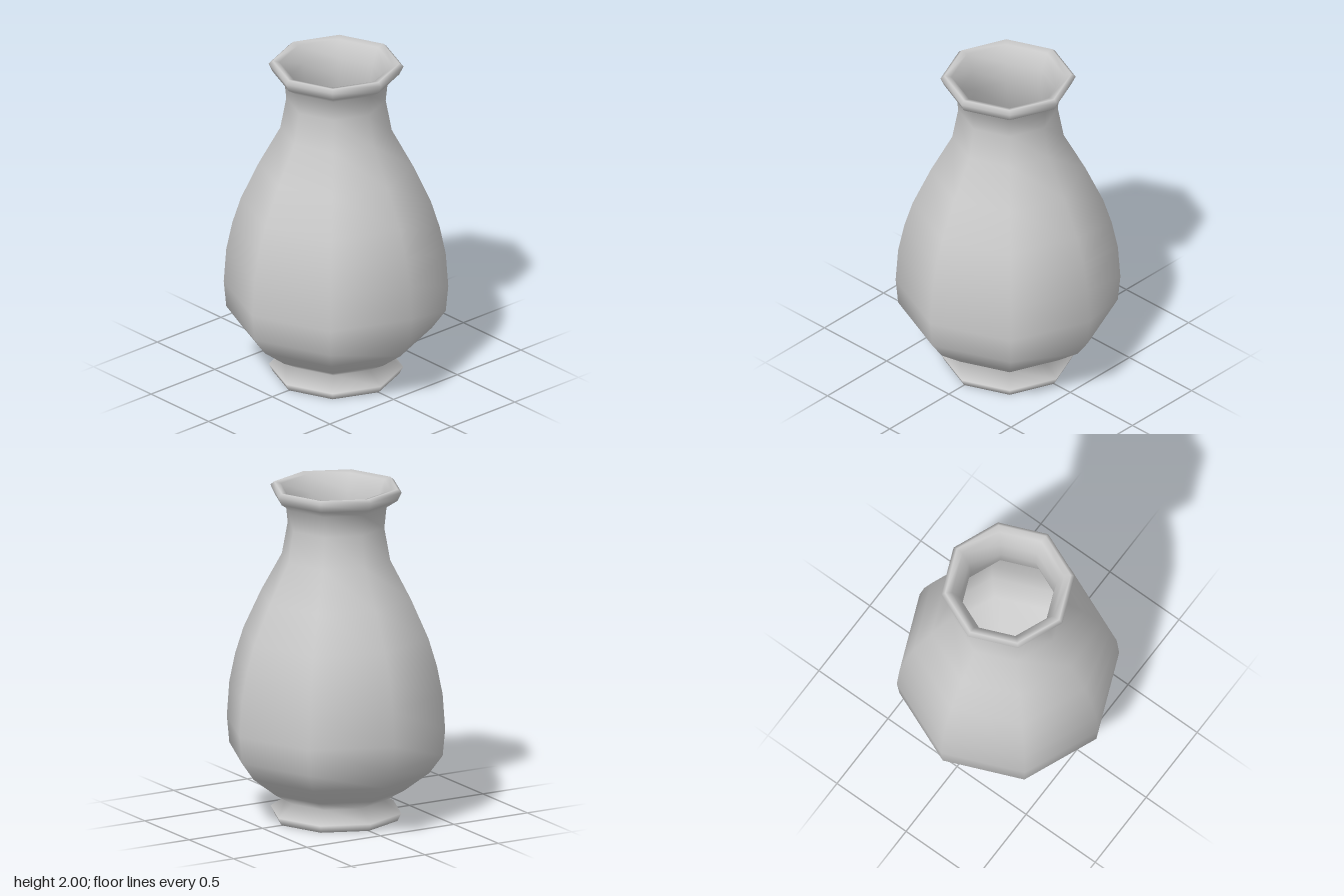
import * as THREE from 'three';

const SIDES = 8;

// Spins a profile of [radius, height] pairs into an eight-sided, smooth-shaded shell
function spin(name, profile) {
  const points = profile.map(([r, y]) => new THREE.Vector2(r, y));
  const material = new THREE.MeshStandardMaterial({ color: 0xcccccc });
  const mesh = new THREE.Mesh(new THREE.LatheGeometry(points, SIDES), material);
  mesh.name = name;
  return mesh;
}

export function createModel() {
  const group = new THREE.Group();
  group.name = 'vase';

  // Belly and neck, shared by the outer wall and the hollow inside
  const belly = [
    [0.41, 0.185], [0.56, 0.3], [0.64, 0.41], [0.655, 0.57], [0.64, 0.78],
    [0.605, 0.95], [0.555, 1.11], [0.45, 1.34], [0.325, 1.57], [0.29, 1.76],
  ];

  // Outside: flat base, flared foot, belly, neck and rolled lip
  const foot = [[0, 0], [0.37, 0], [0.392, 0.045], [0.29, 0.115]];
  const lip = [[0.303, 1.885], [0.37, 1.93], [0.394, 1.98], [0.37, 2], [0.33, 1.99]];

  // Inside: throat, then the belly offset inward, down to the floor
  const throat = [[0.285, 1.89]];
  const inner = belly.map(([r, y]) => [r - 0.02, y + 0.01]).reverse();

  group.add(spin('vaseBody', [...foot, ...belly, ...lip, ...throat, ...inner, [0, 0.17]]));
  return group;
}
